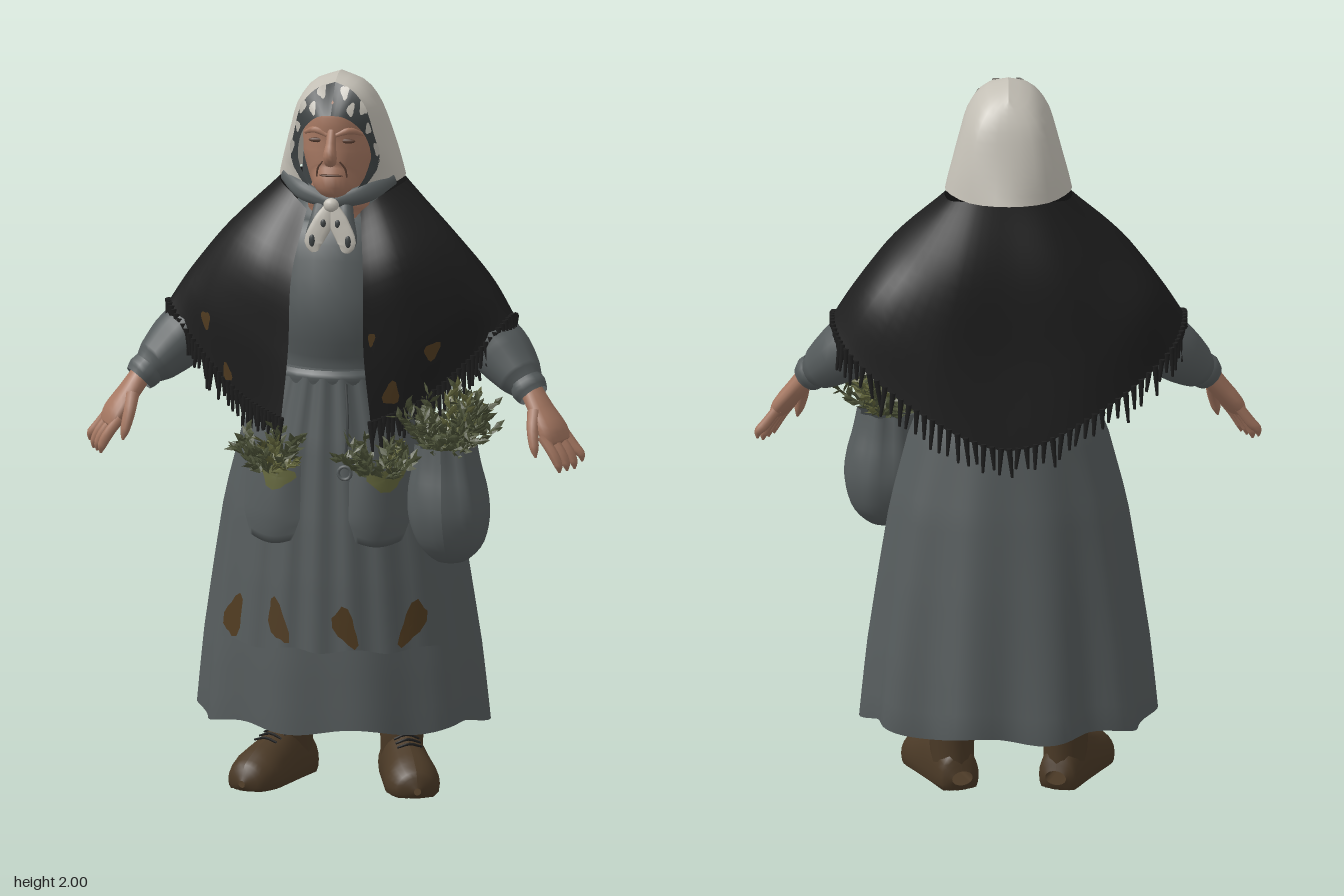
import * as THREE from 'three';
import { mergeGeometries } from 'three/addons/utils/BufferGeometryUtils.js';
import { ParametricGeometry } from 'three/addons/geometries/ParametricGeometry.js';

const mat = (name, color) => new THREE.MeshStandardMaterial({ name, color, side: THREE.DoubleSide });
const M = {
  dress: mat('dress grey', 0x565c5d), lining: mat('lining charcoal', 0x3f4445), shawl: mat('shawl black', 0x1e1e1e),
  scarf: mat('scarf ivory', 0xc3bfb5), skin: mat('skin', 0xa67862), crease: mat('skin crease', 0x5e4235),
  boot: mat('boot brown', 0x4a3926), stain: mat('stain brown', 0x503b20), leaf: mat('leaf green', 0x4c5238),
  moss: mat('moss green', 0x63663c),
};
const V = (p) => new THREE.Vector3(...p);
const mix = THREE.MathUtils.lerp;
const curve = (pts) => new THREE.CatmullRomCurve3(pts);
let seed = 7;
const rnd = () => (seed = (seed * 16807) % 2147483647) / 2147483647;
const spread = () => rnd() * 2 - 1;

function add(parent, name, geo, material, pos, scale) {
  const m = new THREE.Mesh(geo, material);
  m.name = name;
  if (pos) m.position.set(...pos);
  if (scale) m.scale.set(...scale);
  parent.add(m);
}
// surface from a function (u, v) -> Vector3
const surface = (fn, nu, nv) => new ParametricGeometry((u, v, t) => t.copy(fn(u, v)), nu, nv);
// smooth skin across rows of points
function rowsFn(rows) {
  const cs = rows.map((r) => curve(r.map(V)));
  return (u, v) => curve(cs.map((c) => c.getPoint(v))).getPoint(Math.min(1, Math.max(0, u)));
}
// tapered tube through [x, y, z, radius along ref, radius across]
function limb(pts, sides = 12, steps = 12, ref = [0, 0, 1]) {
  const path = curve(pts.map((p) => V(p.slice(0, 3))));
  const size = curve(pts.map((p) => new THREE.Vector3(p[3], p[4] ?? p[3], 0)));
  return surface((u, v) => {
    const t = path.getTangent(v), a = u * Math.PI * 2, r = size.getPoint(v);
    const n1 = V(ref).addScaledVector(t, -V(ref).dot(t)).normalize();
    const n2 = t.clone().cross(n1);
    return path.getPoint(v).addScaledVector(n1, r.x * Math.cos(a)).addScaledVector(n2, r.y * Math.sin(a));
  }, sides, steps);
}
const flip = (pts, s) => pts.map(([x, ...rest]) => [x * s, ...rest]);
// half the stations, mirrored to run from right front round the back to left front
const bothSides = (half) => [...half.map((r) => flip(r, -1)), ...half.slice(0, -1).reverse()];
const ball = new THREE.SphereGeometry(1, 14, 10);

// skirt sizes: y, half width, front z, back z, centre z
const SKIRT = [[1.2, .19, .17, -.15, 0], [1, .27, .2, -.21, -.01], [.8, .32, .22, -.245, -.02], [.6, .35, .235, -.272, -.03],
  [.4, .377, .245, -.296, -.04], [.2, .395, .25, -.32, -.05]];
function skirtAt(y) {
  const k = Math.min(4.999, Math.max(0, (1.2 - y) / .2)), i = Math.floor(k);
  return SKIRT[i].map((n, j) => mix(n, SKIRT[i + 1][j], k - i));
}
function skirtPoint(u, v) {
  const a = u * Math.PI * 2, y = mix(1.2, .195, v), [, w, zf, zb, zc] = skirtAt(y), c = Math.cos(a);
  const f = 1 - (.035 + .015 * c) * v * Math.cos(10 * a);
  return new THREE.Vector3(w * f * Math.sin(a), y + .01 * v * Math.sin(7 * a), zc + f * (c > 0 ? c * (zb - zc) : -c * (zf - zc)));
}
// point lying on the apron, raised by d
function onApron(x, y, d = 0) {
  const [, w, zf, , zc] = skirtAt(y), s = Math.min(.98, Math.abs(x) / (w * 1.01));
  return new THREE.Vector3(x, y, zc + (zf + .03 - zc) * Math.sqrt(1 - s * s) + d);
}
// irregular thin blot on any surface function
function blot(on, cx, cy, rx, ry) {
  const k = rnd() * 6;
  const g = surface((u, v) => {
    const a = -u * Math.PI * 2, r = v * (1 + .2 * Math.sin(3 * a + k));
    return on(cx + rx * r * Math.cos(a), cy + ry * r * Math.sin(a));
  }, 14, 3);
  g.computeVertexNormals();
  return g;
}

// leafy sprigs fanning from a mouth
function bunch(parent, name, [x, y, z], [sx, h, sz], count) {
  const parts = [[], []];
  for (let i = 0; i < count; i++) {
    const dir = new THREE.Vector3(spread() * sx, h * (.4 + .6 * rnd()), spread() * sz);
    const base = new THREE.Vector3(x + dir.x * .35, y, z + dir.z * .35);
    for (let j = 0; j < 16; j++) {
      const g = new THREE.OctahedronGeometry(1).scale(.0095, .022, .003).rotateY(rnd() * 3).translate(0, .016, 0);
      const way = dir.clone().normalize().multiplyScalar(.8).add(new THREE.Vector3(spread(), spread() * .6, spread())).normalize();
      g.applyQuaternion(new THREE.Quaternion().setFromUnitVectors(new THREE.Vector3(0, 1, 0), way));
      const p = base.clone().addScaledVector(dir, j / 17);
      parts[i % 6 === 5 ? 1 : 0].push(g.translate(p.x, p.y, p.z));
    }
  }
  add(parent, name, mergeGeometries(parts[0]), M.leaf);
  add(parent, name + 'Light', mergeGeometries(parts[1]), M.moss);
}

function buildHead(g) {
  add(g, 'head', limb([[0, 1.66, .09, .02], [0, 1.685, .085, .075, .055], [0, 1.725, .055, .095, .078], [0, 1.78, .035, .105, .094],
    [0, 1.83, .03, .106, .096], [0, 1.875, .025, .112, .093], [0, 1.92, .01, .095, .075], [0, 1.95, 0, .02]], 24, 24), M.skin);
  add(g, 'neck', limb([[0, 1.52, .1, .045, .04], [0, 1.6, .04, .08, .07], [0, 1.72, .01, .08, .07]]), M.skin);
  add(g, 'nose', limb([[0, 1.87, .12, .012], [0, 1.825, .142, .018, .014], [0, 1.795, .154, .022, .019], [0, 1.772, .148, .012, .016],
    [0, 1.768, .14, .003]]), M.skin);
  add(g, 'mouth', ball, M.crease, [0, 1.737, .141], [.034, .004, .008]);
  for (const s of [1, -1]) {
    add(g, 'eye', ball, M.crease, [.042 * s, 1.832, .124], [.023, .007, .007]);
    add(g, 'brow', limb(flip([[.012, 1.848, .132, .006], [.045, 1.86, .122, .01], [.08, 1.845, .09, .005]], s), 8, 8), M.skin);
    add(g, 'cheekFold', limb(flip([[.024, 1.775, .137, .002], [.038, 1.755, .131, .003], [.042, 1.73, .126, .002]], s), 6, 6), M.crease);
  }
  // headscarf hood with a dark lining rim
  const rim = [[0, 1.985, .075], [.05, 1.968, .095], [.088, 1.925, .105], [.11, 1.85, .095], [.122, 1.76, .075], [.055, 1.66, .1]];
  const hood = surface(rowsFn(bothSides([rim,
    [[0, 2, .03], [.066, 1.978, .035], [.11, 1.92, .04], [.13, 1.85, .04], [.15, 1.76, .03], [.16, 1.7, .02]],
    [[0, 1.998, -.02], [.068, 1.968, -.03], [.108, 1.91, -.04], [.134, 1.84, -.048], [.158, 1.76, -.055], [.171, 1.705, -.06]],
    [[0, 1.985, -.055], [.05, 1.95, -.085], [.08, 1.9, -.11], [.095, 1.83, -.128], [.103, 1.76, -.143], [.108, 1.7, -.152]],
    [[0, 1.97, -.08], [0, 1.945, -.1], [0, 1.9, -.125], [0, 1.83, -.152], [0, 1.76, -.178], [0, 1.705, -.2]]])), 24, 12);
  hood.computeVertexNormals();
  add(g, 'headscarf', hood, M.scarf);
  const inner = [[0, 1.905, .142], [.035, 1.9, .138], [.068, 1.875, .122], [.094, 1.83, .1], [.1, 1.76, .085], [.05, 1.665, .11]];
  for (const s of [1, -1]) {
    const band = rowsFn([flip(rim, s), flip(inner, s)]);
    const raised = (a, b) => band(a, Math.max(0, b)).add(new THREE.Vector3(.003 * s, .002, .005));
    add(g, 'scarfRim', surface(band, 4, 18), M.lining);
    for (const [u, v, ru, rv] of [[.3, .12, .25, .05], [.7, .25, .2, .045], [.3, .38, .25, .055], [.6, .53, .25, .04], [.4, .7, .3, .045]])
      add(g, 'scarfRimPatch', blot(raised, u, v, ru, rv), M.scarf);
    add(g, 'scarfWrap', limb(flip([[.15, 1.71, .02, .012, .02], [.09, 1.68, .085, .014, .026], [0, 1.655, .12, .012, .018]], s)), M.dress);
    const tail = [[0, 1.655, .13, .01, .014], [.024, 1.6, .142, .008, .028], [.046, 1.55, .15, .006, .026], [.036, 1.515, .152, .002, .004]];
    add(g, 'scarfTail', limb(flip(tail, s)), M.scarf);
    add(g, 'scarfTailBack', limb(flip([[.03, 1.665, .09, .02, .02], [.035, 1.61, .118, .022, .026], [.046, 1.55, .138, .012, .026],
      [.038, 1.515, .148, .003, .004]], s)), M.dress);
    add(g, 'scarfTailPatch', ball, M.lining, [.02 * s, 1.603, .147], [.008, .012, .006]);
    add(g, 'scarfTailPatch', ball, M.lining, [.05 * s, 1.555, .153], [.009, .018, .006]);
  }
  add(g, 'scarfKnot', ball, M.scarf, [0, 1.652, .135], [.022, .02, .016]);
  add(g, 'scarfLining', limb([[0, 1.6, -.05, .1, .11], [0, 1.7, -.05, .1, .115], [0, 1.78, -.04, .105, .108], [0, 1.85, -.03, .095, .1]], 20), M.lining);
}

function buildShawl(g) {
  const cloth = rowsFn(bothSides([
    [[.075, 1.63, .1], [.1, 1.46, .195], [.105, 1.26, .215], [.125, 1.06, .213]],
    [[.12, 1.665, .07], [.2, 1.5, .165], [.235, 1.32, .175], [.245, 1.11, .155]],
    [[.16, 1.685, .02], [.29, 1.53, .085], [.36, 1.37, .095], [.38, 1.225, .085]],
    [[.175, 1.69, -.04], [.32, 1.55, 0], [.42, 1.42, .005], [.478, 1.33, .005]],
    [[.16, 1.69, -.1], [.28, 1.53, -.12], [.38, 1.4, -.14], [.452, 1.27, -.115]],
    [[.1, 1.7, -.14], [.16, 1.5, -.2], [.22, 1.3, -.218], [.25, 1.12, -.23]],
    [[0, 1.7, -.15], [0, 1.5, -.205], [0, 1.25, -.228], [0, 1.02, -.262]]]));
  add(g, 'shawl', surface(cloth, 60, 16), M.shawl);
  const threads = [];
  for (let i = 0; i <= 130; i++) {
    const p = cloth(i / 130, 1), len = .055 + .035 * rnd();
    threads.push(new THREE.CylinderGeometry(.009, .004, len, 5).translate(0, -len / 2 + .008, 0)
      .rotateZ(spread() * .15).translate(p.x, p.y, p.z));
  }
  add(g, 'shawlFringe', mergeGeometries(threads), M.shawl);
  const raised = (u, v) => cloth(u, Math.min(1, v)).add(new THREE.Vector3(0, 0, .006));
  for (const [u, v, ru, rv] of [[.155, .78, .01, .05], [.11, .95, .008, .04], [.96, .9, .014, .05], [.89, .8, .012, .04], [.985, .62, .006, .03]])
    add(g, 'shawlStain', blot(raised, u, v, ru, rv), M.stain);
}

function buildDress(g) {
  add(g, 'bodice', limb([[0, 1.14, .02, .15, .18], [0, 1.22, .02, .15, .17], [0, 1.35, .03, .165, .19], [0, 1.48, 0, .165, .2],
    [0, 1.58, -.03, .14, .17], [0, 1.66, -.03, .08, .09]], 28, 16), M.dress);
  add(g, 'placket', limb([[.005, 1.54, .135, .004], [.005, 1.49, .163, .004], [.005, 1.44, .178, .004]], 6, 6), M.lining);
  add(g, 'skirt', surface(skirtPoint, 100, 14), M.dress);
  add(g, 'waistband', limb([[0, 1.16, .02, .182, .2], [0, 1.18, .02, .186, .2], [0, 1.2, .02, .175, .19]], 28, 4), M.dress);
  add(g, 'apron', surface((u, v) => {
    const y = mix(1.18, .43, v), x = (u * 2 - 1) * skirtAt(y)[1] * .84;
    return onApron(x, y + .006 * v * Math.sin(u * 22), .004 * Math.cos(u * 40));
  }, 40, 14), M.dress);
  for (const [x, y, rx, ry, tilt] of [[-.262, .5, .028, .058, .2], [-.125, .505, .026, .06, -.25], [.065, .5, .03, .055, -.3], [.24, .505, .028, .06, .3]])
    add(g, 'apronStain', blot((a, b) => onApron(a + (b - y) * tilt, b, .008), x, y, rx, ry), M.stain);
  // pockets with mossy rims and herbs
  for (const [x, half, n] of [[-.15, .085, 18], [.15, .08, 14]]) {
    const pocket = (u, v, d = 0) => {
      const w = half * (1 - .25 * Math.max(0, v - .7) / .3), e = Math.sin(Math.PI * Math.min(1, Math.max(0, u)));
      return onApron(x + (u * 2 - 1) * w, mix(.94, .72, v) + .015 * (1 - e) * v, .006 + d + .03 * e * Math.sqrt(Math.max(0, 1 - v * v)));
    };
    add(g, 'pocket', surface(pocket, 14, 10), M.dress);
    add(g, 'pocketMoss', blot((u, v) => pocket(u, Math.max(0, v), .005), .62, .14, .28, .14), M.moss);
    bunch(g, 'pocketHerbs', [x, .92, .235], [.08, .13, .05], n);
  }
  add(g, 'apronCord', limb([[.055, 1.17, .21, .004], [.065, 1.06, .238, .004], [.06, .95, .25, .004]], 6, 8), M.lining);
  add(g, 'cordRing', new THREE.TorusGeometry(.018, .005, 6, 14), M.dress, [.06, .93, .255]);
}

function buildBag(g) {
  const prof = [[.002, .67], [.045, .678], [.09, .725], [.112, .8], [.108, .87], [.092, .94], [.082, 1]];
  const sack = new THREE.LatheGeometry(new THREE.SplineCurve(prof.map((p) => new THREE.Vector2(...p))).getPoints(20), 40);
  const p = sack.attributes.position;
  for (let i = 0; i < p.count; i++) { // gathers deepen toward the mouth, belly sags outward
    const k = Math.max(0, (p.getY(i) - .72) / .28);
    const f = 1 + .07 * k * Math.cos(9 * Math.atan2(p.getX(i), p.getZ(i)));
    p.setX(i, p.getX(i) * f + .012 * (1 - k));
    p.setZ(i, p.getZ(i) * f);
  }
  sack.computeVertexNormals();
  add(g, 'herbBag', sack, M.dress, [.325, 0, .155]);
  add(g, 'bagStrap', limb([[.29, .98, .16, .007], [.23, 1.07, .17, .007], [.17, 1.18, .13, .007]], 6, 8), M.lining);
  bunch(g, 'bagHerbs', [.335, .98, .18], [.11, .2, .1], 52);
}

function buildLimbs(g, s) {
  add(g, 'sleeve', limb(flip([[.19, 1.52, -.04, .08], [.33, 1.35, -.035, .085, .075], [.44, 1.235, -.015, .088, .082],
    [.505, 1.17, .025, .07, .064], [.53, 1.147, .045, .045]], s), 16, 16), M.dress);
  add(g, 'cuff', limb(flip([[.522, 1.16, .042, .047], [.535, 1.143, .05, .051], [.55, 1.125, .06, .043]], s), 14, 4), M.dress);
  // hand turned so the forefinger side sits forward and inward
  add(g, 'palm', limb(flip([[.535, 1.15, .055, .03, .03], [.575, 1.09, .08, .044, .028], [.61, 1.04, .1, .055, .026],
    [.625, 1.01, .107, .05, .018], [.628, 1.002, .108, .01, .006]], s), 14, 12, [-.5 * s, 0, .86]), M.skin);
  for (let i = 0; i < 4; i++) {
    const o = -.039 + .026 * i, x = -.6 * o, d = i === 0 ? .015 : 0;
    add(g, 'finger', limb(flip([[.61 + x, 1.03, .1 + o, .014], [.643 + x, .985, .106 + o * 1.08, .0145], [.659 + x, .952 + d, .108 + o * 1.1, .012],
      [.662 + x, .932 + d, .108 + o * 1.1, .003]], s), 8, 8), M.skin);
  }
  add(g, 'thumb', limb(flip([[.56, 1.09, .105, .02], [.562, 1.045, .14, .017], [.57, 1, .16, .013], [.575, .975, .166, .003]], s), 8, 8), M.skin);
  // boots with flat soles, toes turned out
  const boot = new THREE.Group();
  boot.name = 'boot';
  boot.position.set(.155 * s, 0, -.08);
  boot.rotation.y = .36 * s;
  add(boot, 'bootShaft', limb([[0, .05, -.005, .068, .056], [0, .13, .002, .074, .06], [0, .2, 0, .074, .062], [0, .34, 0, .074, .064]], 16, 8), M.boot);
  const foot = limb([[0, .035, -.078, .02, .03], [0, .035, -.06, .075, .055], [0, .035, .03, .115, .062], [0, .03, .11, .095, .07],
    [0, .025, .18, .078, .075], [0, .022, .235, .05, .055], [0, .02, .255, .01]], 24, 18, [0, 1, 0]);
  const p = foot.attributes.position;
  for (let i = 0; i < p.count; i++) p.setY(i, Math.max(0, p.getY(i)));
  foot.computeVertexNormals();
  add(boot, 'bootFoot', foot, M.boot);
  for (const z of [.08, .105, .13])
    add(boot, 'bootLace', limb([[-.035, .148 - z * .24, z, .003], [0, .165 - z * .3, z, .004], [.035, .148 - z * .24, z, .003]], 6, 6), M.shawl);
  g.add(boot);
}

export function createModel() {
  const model = new THREE.Group();
  model.name = 'villageWoman';
  const part = (name, build, ...args) => {
    const g = new THREE.Group();
    g.name = name;
    build(g, ...args);
    model.add(g);
  };
  part('headGroup', buildHead);
  part('dressGroup', buildDress);
  part('shawlGroup', buildShawl);
  part('bagGroup', buildBag);
  part('leftLimbs', buildLimbs, 1);
  part('rightLimbs', buildLimbs, -1);
  return model;
}
